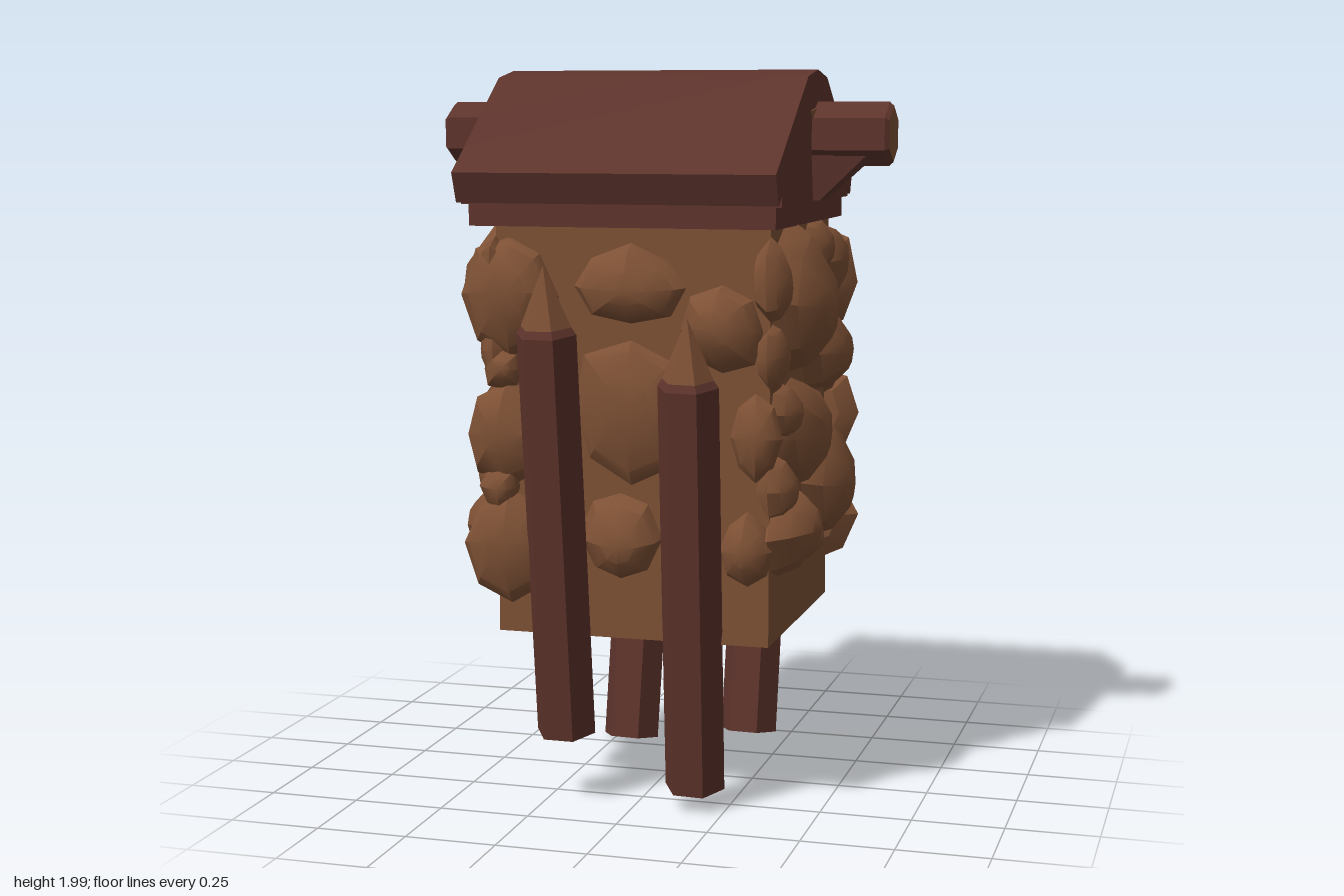
import * as THREE from 'three';
import { toCreasedNormals } from 'three/addons/utils/BufferGeometryUtils.js';

const wood = new THREE.MeshStandardMaterial({ color: 0x5e342c });
wood.name = 'dark wood';
const clay = new THREE.MeshStandardMaterial({ color: 0x7e5135, side: THREE.DoubleSide });
clay.name = 'brown stone';

let seed = 11;
const random = () => (seed = (seed * 16807) % 2147483647) / 2147483647;

function add(parent, name, geometry, material) {
  const mesh = new THREE.Mesh(geometry, material);
  mesh.name = name;
  parent.add(mesh);
  return mesh;
}

// Flat facets for low-sided cylinders
function faceted(geometry) {
  const g = geometry.toNonIndexed();
  geometry.groups.forEach((r) => g.addGroup(r.start, r.count, r.materialIndex));
  g.computeVertexNormals();
  return g;
}

// Outline in (z, y), swept from x0 to x1
function sweepX(outline, x0, x1) {
  const shape = new THREE.Shape(outline.map(([z, y]) => new THREE.Vector2(-z, y)));
  const g = new THREE.ExtrudeGeometry(shape, { depth: x1 - x0, bevelEnabled: false });
  return g.rotateY(Math.PI / 2).translate(x0, 0, 0);
}

// Half outline mirrored over z = 0
const mirrorZ = (half) => [...half, ...half.filter(([z]) => z > 0).map(([z, y]) => [-z, y]).reverse()];

// Uneven eight-sided rock with a blunt, off-centre peak facing +z
function rockGeometry() {
  const sides = 8;
  const profile = [[0, -0.8], [0.6, -0.6], [0.98, 0], [0.82, 0.46], [0.4, 0.88], [0, 1]];
  const g = new THREE.LatheGeometry(profile.map(([r, y]) => new THREE.Vector2(r, y)), sides);
  g.rotateX(Math.PI / 2);
  const spokes = Array.from({ length: sides }, () => 0.9 + 0.2 * random());
  const dx = (random() - 0.5) * 0.3, dy = (random() - 0.5) * 0.3;
  const p = g.attributes.position;
  for (let i = 0; i < p.count; i++) {
    const k = spokes[Math.floor(i / profile.length) % sides], z = p.getZ(i);
    p.setXYZ(i, p.getX(i) * k + dx * Math.max(z, 0), p.getY(i) * k + dy * Math.max(z, 0), z);
  }
  return toCreasedNormals(g, 0.65);
}

// Rocks on one wall: [across, height, half width, half height, depth]
function stoneWall(name, list, distance, angle, flip) {
  const wall = new THREE.Group();
  wall.name = name;
  for (const [u, y, w, h, d] of list) {
    const rock = add(wall, 'stone', rockGeometry(), clay);
    rock.position.set(flip ? -u : u, y, distance);
    rock.scale.set(w, h, d);
  }
  wall.rotation.y = angle;
  return wall;
}

// Hexagonal stake with a pointed, bare tip
function stake(bottom, tip) {
  const group = new THREE.Group();
  group.name = 'stake';
  const a = new THREE.Vector3(...bottom), b = new THREE.Vector3(...tip);
  const length = a.distanceTo(b), shaft = length - 0.18;
  const part = (name, top, base, height, y, material) => add(group, name,
    faceted(new THREE.CylinderGeometry(top, base, height, 6).rotateY(Math.PI / 6).translate(0, y + height / 2, 0)), material);
  part('stakeShaft', 0.083, 0.083, shaft, 0, wood);
  part('stakeCollar', 0.07, 0.083, 0.02, shaft, wood);
  part('stakeTip', 0.001, 0.07, 0.16, shaft + 0.02, clay);
  group.position.copy(a);
  group.quaternion.setFromUnitVectors(new THREE.Vector3(0, 1, 0), b.sub(a).normalize());
  return group;
}

export function createModel() {
  const model = new THREE.Group();
  model.name = 'stoneTower';

  // Open-bottomed square body
  const body = new THREE.CylinderGeometry(Math.SQRT1_2, Math.SQRT1_2, 1, 4, 1, true, Math.PI / 4);
  body.scale(0.755, 1.14, 0.72).translate(0, 1.05, -0.008);
  add(model, 'body', faceted(body), clay);

  // Rocks set in the walls
  const side = [
    [-0.155, 1.4, 0.205, 0.2, 0.145], [0.13, 1.51, 0.08, 0.085, 0.07], [0.31, 1.46, 0.1, 0.12, 0.07],
    [0.19, 1.23, 0.19, 0.14, 0.115], [-0.11, 1.03, 0.21, 0.15, 0.11], [0.2, 0.86, 0.17, 0.18, 0.12],
    [-0.24, 0.77, 0.14, 0.13, 0.12], [-0.03, 0.72, 0.075, 0.08, 0.08], [-0.26, 1.1, 0.08, 0.08, 0.07],
    [-0.3, 0.9, 0.08, 0.09, 0.07], [-0.33, 1.25, 0.07, 0.09, 0.05], [0.34, 1.17, 0.06, 0.09, 0.05],
    [-0.35, 1.45, 0.07, 0.11, 0.06],
  ];
  const front = [
    [0, 1.43, 0.16, 0.11, 0.07], [0.25, 1.32, 0.12, 0.12, 0.08], [0, 1.1, 0.18, 0.2, 0.06],
    [-0.03, 0.76, 0.11, 0.13, 0.08], [-0.34, 1.4, 0.13, 0.17, 0.08], [-0.34, 1.02, 0.13, 0.14, 0.06],
    [-0.34, 0.72, 0.13, 0.15, 0.06], [0.32, 0.74, 0.08, 0.1, 0.06], [-0.36, 1.2, 0.06, 0.06, 0.05],
    [0.34, 1.04, 0.07, 0.12, 0.05], [-0.37, 0.88, 0.06, 0.07, 0.05],
  ];
  model.add(stoneWall('frontStones', front, 0.352, 0, false));
  model.add(stoneWall('backStones', front, 0.368, Math.PI, false));
  model.add(stoneWall('leftStones', side, 0.3775, Math.PI / 2, false));
  model.add(stoneWall('rightStones', side, 0.3775, -Math.PI / 2, true));

  // Solid roof with soft ridge, and the wall plate below it
  const roof = sweepX(mirrorZ([
    [0, 1.645], [0.42, 1.645], [0.42, 1.675], [0.455, 1.65], [0.487, 1.73], [0.12, 1.98], [0, 2],
  ]), -0.45, 0.422);
  add(model, 'roof', toCreasedNormals(roof, 0.5), wood);
  add(model, 'wallPlate', new THREE.BoxGeometry(0.835, 0.06, 0.83).translate(-0.0125, 1.618, 0), wood);

  // Ridge beam with bare ends
  const beam = new THREE.CylinderGeometry(0.086, 0.086, 1.24, 6).rotateZ(Math.PI / 2).rotateX(Math.PI / 6);
  add(model, 'ridgeBeam', faceted(beam.translate(0, 1.828, 0)), wood);
  for (const s of [-1, 1]) {
    const cap = new THREE.CylinderGeometry(0.075, 0.086, 0.012, 6).rotateZ(-Math.PI / 2).rotateX(Math.PI / 6);
    const end = add(model, 'beamEnd', faceted(cap.translate(0.625, 1.828, 0)), [wood, clay, clay]);

    // Sloping brace under the beam, narrowing downwards
    const shape = new THREE.Shape([[0.38, 1.65], [0.44, 1.65], [0.57, 1.77], [0.38, 1.77]].map(([x, y]) => new THREE.Vector2(x, y)));
    const wedge = new THREE.ExtrudeGeometry(shape, { depth: 2, bevelEnabled: false }).translate(0, 0, -1);
    const p = wedge.attributes.position;
    for (let i = 0; i < p.count; i++) p.setZ(i, p.getZ(i) * (0.05 + (p.getY(i) - 1.65) * 0.2));
    wedge.computeVertexNormals();
    const brace = add(model, 'beamBrace', wedge, wood);
    if (s < 0) end.rotation.y = brace.rotation.y = Math.PI;

    // Chipped patch on the gable above the beam
    const patch = sweepX([[-0.15, 1.835], [-0.06, 1.885], [0, 1.9], [0.095, 1.89], [0.06, 1.855]], 0, 0.006);
    add(model, 'gablePatch', patch, clay).position.x = s > 0 ? 0.42 : -0.454;
  }

  // Leaning stakes
  const stakes = [
    [[-0.2, 0.2, 0.315], [-0.195, 1.49, 0.497]], [[0.16, 0.065, 0.29], [0.185, 1.36, 0.468]],
    [[-0.2, 0.02, -0.297], [-0.175, 1.34, -0.495]], [[0.165, 0.065, -0.297], [0.18, 1.36, -0.497]],
  ];
  stakes.forEach(([a, b]) => model.add(stake(a, b)));
  return model;
}
